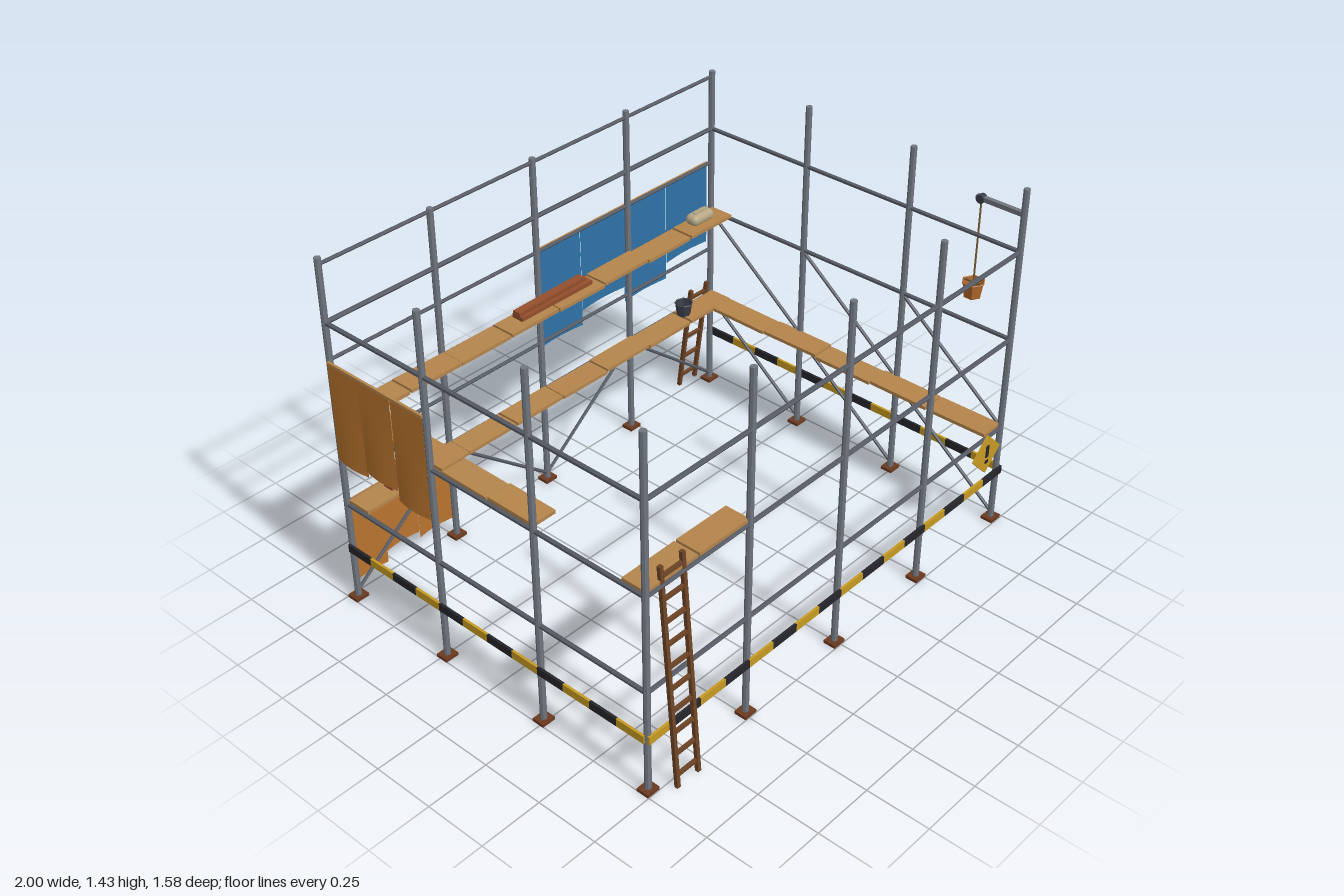
import * as THREE from 'three';
import { RoundedBoxGeometry } from 'three/addons/geometries/RoundedBoxGeometry.js';

const mat = (color, extra = {}) => new THREE.MeshStandardMaterial({ color, ...extra });
const M = {
  steel: mat(0x70757f, { flatShading: true }),
  rail: mat(0x565a64, { flatShading: true }),
  plate: mat(0x6b3a20),
  plank: mat(0xb5854c),
  ladder: mat(0x6e4426),
  timber: mat(0x944f2c),
  brick: mat(0xa04a35),
  tarp: mat(0x2f73a8, { side: THREE.DoubleSide }),
  canvas: mat(0xb9742e, { side: THREE.DoubleSide }),
  yellow: mat(0xc79a22),
  black: mat(0x26262b),
  bucket: mat(0xb56a2c, { flatShading: true, side: THREE.DoubleSide }),
  pail: mat(0x3a3d48, { flatShading: true, side: THREE.DoubleSide }),
  rope: mat(0x7a6038),
  sack: mat(0xb5a684),
};

const XS = [0, 1, 2, 3, 4].map(i => -0.975 + 0.484 * i);
const ZS = [0.724, 0.242, -0.24, -0.722];
const [X0, X1, ZF, ZB] = [XS[0], XS[4], ZS[0], ZS[3]];
const V = (x, y, z) => new THREE.Vector3(x, y, z);

export function createModel() {
  const root = new THREE.Group();
  root.name = 'scaffold';

  const add = (name, geo, material, x = 0, y = 0, z = 0, parent = root) => {
    const m = new THREE.Mesh(geo, material);
    m.name = name;
    m.position.set(x, y, z);
    parent.add(m);
    return m;
  };
  const box = (name, w, h, d, material, x, y, z, parent) =>
    add(name, new THREE.BoxGeometry(w, h, d), material, x, y, z, parent);
  const group = (name) => {
    const g = new THREE.Group();
    g.name = name;
    root.add(g);
    return g;
  };
  // round pipe between two points
  const pipe = (name, a, b, r, material, parent, sides = 8) => {
    const m = add(name, new THREE.CylinderGeometry(r, r, a.distanceTo(b), sides), material, 0, 0, 0, parent);
    m.position.copy(a).add(b).multiplyScalar(0.5);
    m.quaternion.setFromUnitVectors(V(0, 1, 0), b.clone().sub(a).normalize());
    return m;
  };

  // upright posts on base plates
  const posts = group('posts');
  const spots = [];
  XS.forEach((x, i) => spots.push([x, ZF, [1.43, 1.41, 1.42, 1.43, 1.43][i]], [x, ZB, [1.43, 1.415, 1.42, 1.43, 1.425][i]]));
  for (const z of [ZS[1], ZS[2]]) spots.push([X0, z, 1.43], [X1, z, 1.43]);
  for (const [x, z, h] of spots) {
    pipe('post', V(x, 0.01, z), V(x, h, z), 0.0125, M.steel, posts);
    box('basePlate', 0.056, 0.012, 0.05, M.plate, x, 0.006, z, posts);
  }

  // horizontal rails: full rings, plus guard rails along the back
  const rails = group('rails');
  for (const y of [0.425, 0.815, 1.18]) {
    for (const z of [ZF, ZB]) pipe('longRail', V(X0, y, z), V(X1, y, z), 0.009, M.rail, rails, 6);
    for (const x of [X0, X1]) pipe('sideRail', V(x, y, ZF), V(x, y, ZB), 0.009, M.rail, rails, 6);
  }
  for (const y of [0.64, 1.033, 1.403])
    pipe('guardRail', V(X0, y, ZB), V(X1, y, ZB), 0.007, M.rail, rails, 6);

  // diagonal braces: zigzag at the back, parallel on one side
  const braces = group('braces');
  for (let i = 0; i < 4; i++) {
    const [a, b] = i % 2 ? [0.41, 0.03] : [0.03, 0.41];
    pipe('backBrace', V(XS[i], a, ZB), V(XS[i + 1], b, ZB), 0.007, M.rail, braces, 6);
  }
  for (let i = 0; i < 3; i++)
    for (const [a, b] of [[0.03, 0.41], [0.43, 0.81]])
      pipe('sideBrace', V(X1, a, ZS[i]), V(X1, b, ZS[i + 1]), 0.007, M.rail, braces, 6);

  // plank decks, boards laid end to end with slight unevenness
  const deck = (name, alongX, from, to, across, y, n) => {
    const g = group(name), step = (to - from) / n;
    for (let i = 0; i < n; i++) {
      const c = from + step * (i + 0.5), len = Math.abs(step) - 0.006;
      const yy = y + [0, 0.003, -0.002, 0.002][i % 4], off = across + [0, 0.002, -0.002][i % 3];
      const b = alongX
        ? box('plank', len, 0.014, 0.1, M.plank, c, yy, off, g)
        : box('plank', 0.1, 0.014, len, M.plank, off, yy, c, g);
      b.rotation[alongX ? 'z' : 'x'] = [0.006, -0.008, 0.004][i % 3];
    }
  };
  deck('upperBackDeck', true, X0, X1, -0.662, 0.828, 8);
  deck('upperSideDeck', false, -0.612, 0.242, -0.922, 0.828, 4);
  deck('upperFrontDeck', true, X0, XS[1], 0.673, 0.828, 2);
  deck('lowerBackDeck', true, X0, X1, -0.662, 0.438, 8);
  deck('lowerSideDeck', false, -0.612, ZF, 0.905, 0.438, 5);

  // striped barrier boards
  const stripes = (name, alongX, from, to, across, n) => {
    const g = group(name), s = (to - from) / n;
    for (let i = 0; i < n; i++) {
      const c = from + s * (i + 0.5), m = i % 2 ? M.black : M.yellow;
      if (alongX) box('stripe', s, 0.032, 0.01, m, c, 0.235, across, g);
      else box('stripe', 0.01, 0.032, Math.abs(s), m, across, 0.235, c, g);
    }
  };
  stripes('frontBarrier', true, -0.985, 0.972, ZF + 0.014, 16);
  stripes('rightBarrier', false, ZF, ZB, X1 + 0.014, 12);
  stripes('leftBarrier', false, ZF, ZB, X0 - 0.014, 12);

  // hanging sheets: strips of uneven length, gently bowed outward
  const sheets = (name, width, top, bottoms, material) => {
    const g = group(name), w = width / bottoms.length;
    bottoms.forEach((bottom, i) => {
      const h = top - bottom;
      const geo = new THREE.PlaneGeometry(w + 0.002, h, 6, 6);
      const p = geo.attributes.position;
      for (let k = 0; k < p.count; k++) {
        const u = p.getX(k) / w + 0.5, t = 0.5 - p.getY(k) / h;
        p.setZ(k, (i % 2 ? 0.006 : 0.002) + 0.009 * t * Math.sin(Math.PI * u));
      }
      geo.computeVertexNormals();
      add('sheetStrip', geo, material, w * (i + 0.5) - width / 2, bottom + h / 2, 0, g);
    });
    box('batten', width, 0.012, 0.01, M.plank, 0, top + 0.004, 0, g);
    return g;
  };
  const blue = sheets('blueTarp', 0.955, 1.022, [0.668, 0.595, 0.665, 0.597], M.tarp);
  blue.position.set(0.475, 0, ZB - 0.015);
  blue.rotation.y = Math.PI;
  const low = sheets('lowerCanvas', 0.48, 0.415, [0.075, 0.1, 0.055], M.canvas);
  low.position.set(-0.733, 0, ZB - 0.015);
  low.rotation.y = Math.PI;
  const side = sheets('sideCanvas', 0.475, 1.025, [0.63, 0.655, 0.61], M.canvas);
  side.position.set(X0 - 0.013, 0, -0.48);
  side.rotation.y = -Math.PI / 2;

  // leaning ladders
  const ladder = (name, x, w, h, zFoot, zTop, rungs) => {
    const g = group(name), len = Math.hypot(h, zFoot - zTop);
    for (const s of [-1, 1]) box('ladderRail', 0.015, len, 0.015, M.ladder, s * w / 2, len / 2, 0, g);
    for (let i = 0; i < rungs; i++)
      box('rung', w, 0.013, 0.012, M.ladder, 0, 0.05 + (len - 0.09) * i / (rungs - 1), 0, g);
    g.position.set(x, 0, zFoot);
    g.rotation.x = Math.atan2(zTop - zFoot, h);
  };
  ladder('frontLadder', -0.85, 0.1, 0.885, 0.785, 0.715, 10);
  ladder('backLadder', 0.888, 0.095, 0.49, -0.785, -0.72, 5);

  // hoist arm, pulley, rope and hanging bucket
  const hoist = group('hoist');
  box('hoistArm', 0.018, 0.018, 0.2, M.steel, X1, 1.33, 0.625, hoist);
  const pulley = add('pulley', new THREE.CylinderGeometry(0.017, 0.017, 0.025, 10), M.pail, X1, 1.328, 0.545, hoist);
  pulley.rotation.z = Math.PI / 2;
  pipe('rope', V(X1, 1.33, 0.545), V(X1, 0.98, 0.545), 0.004, M.rope, hoist, 6);
  const pail = (name, r, h, sides, material, x, y, z, parent) => {
    add(name, new THREE.CylinderGeometry(r, r * 0.78, h, sides, 1, true), material, x, y + h / 2, z, parent);
    add(name + 'Base', new THREE.CylinderGeometry(r * 0.79, r * 0.78, 0.008, sides), material, x, y + 0.004, z, parent);
    const rim = add(name + 'Rim', new THREE.TorusGeometry(r, 0.003, 4, sides), material, x, y + h, z, parent);
    rim.rotation.set(Math.PI / 2, 0, Math.PI / 2);
  };
  pail('hoistBucket', 0.043, 0.06, 6, M.bucket, X1, 0.928, 0.545, hoist);
  box('bucketHandle', 0.006, 0.006, 0.08, M.rope, X1, 0.985, 0.545, hoist);

  // diamond warning sign
  const sign = group('warningSign');
  sign.position.set(0.84, 0.38, ZF + 0.024);
  box('signBoard', 0.12, 0.12, 0.008, M.yellow, 0, 0, 0, sign).rotation.z = Math.PI / 4;
  box('signBar', 0.018, 0.052, 0.003, M.black, 0, 0.014, 0.005, sign);
  box('signDot', 0.018, 0.014, 0.003, M.black, 0, -0.033, 0.005, sign);

  // materials left on the decks
  const bricks = group('brickStack');
  for (let r = 0; r < 2; r++)
    for (let c = 0; c < 2; c++)
      box('brick', 0.08, 0.04, 0.045, M.brick, -0.797 + c * 0.084 + r * 0.003, 0.466 + r * 0.043, -0.662, bricks);
  pail('deckPail', 0.035, 0.054, 8, M.pail, 0.74, 0.445, -0.67);
  const timber = group('timberStack');
  box('timber', 0.365, 0.017, 0.052, M.timber, 0.018, 0.845, -0.672, timber);
  box('timber', 0.345, 0.017, 0.034, M.timber, 0.005, 0.862, -0.676, timber).rotation.y = 0.02;
  add('sandbag', new RoundedBoxGeometry(0.12, 0.046, 0.062, 4, 0.022), M.sack, 0.835, 0.858, -0.67);
  box('bagTie', 0.07, 0.006, 0.012, M.sack, 0.835, 0.882, -0.67);

  return root;
}
